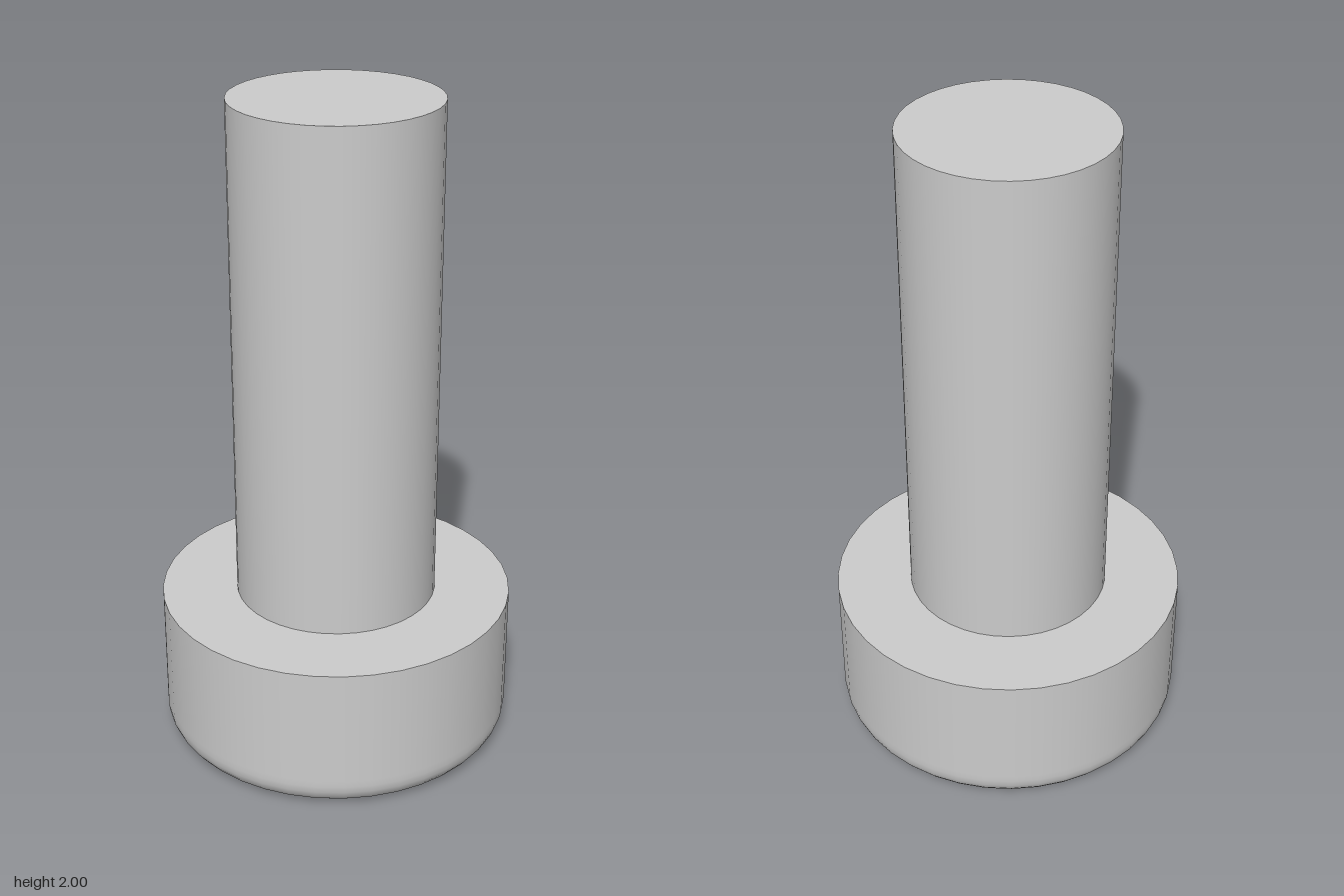
import * as THREE from 'three';

const SHAFT_R = 0.307, HEAD_R = 0.537, HEAD_H = 0.465, FILLET = 0.08;
const SOCKET_R = 0.308, SOCKET_DEPTH = 0.31, SEGMENTS = 40;

export function createModel() {
  const bolt = new THREE.Group();
  bolt.name = 'socketHeadBolt';
  const smooth = new THREE.MeshStandardMaterial({ color: 0xcccccc });
  const inside = new THREE.MeshStandardMaterial({ color: 0xcccccc, flatShading: true, side: THREE.BackSide });

  const add = (name, geometry, y, material = smooth) => {
    const mesh = new THREE.Mesh(geometry, material);
    mesh.name = name;
    mesh.position.y = y;
    bolt.add(mesh);
    return mesh;
  };

  // Plain shaft, closed by its flat tip
  const shaftH = 2 - HEAD_H;
  add('shaft', new THREE.CylinderGeometry(SHAFT_R, SHAFT_R, shaftH, SEGMENTS), HEAD_H + shaftH / 2);

  // Head wall with a rounded lower edge
  const profile = [];
  for (let i = 0; i <= 6; i++) {
    const a = (i / 6) * Math.PI / 2;
    profile.push(new THREE.Vector2(HEAD_R - FILLET + FILLET * Math.sin(a), FILLET * (1 - Math.cos(a))));
  }
  profile.push(new THREE.Vector2(HEAD_R, FILLET + 0.02), new THREE.Vector2(HEAD_R, HEAD_H));
  add('headWall', new THREE.LatheGeometry(profile, SEGMENTS), 0);

  // Flat shoulder around the shaft
  add('headShoulder', new THREE.RingGeometry(SHAFT_R - 0.01, HEAD_R, SEGMENTS).rotateX(-Math.PI / 2), HEAD_H);

  // Head face with a hexagonal opening
  const polygon = (radius, sides) => Array.from({ length: sides }, (_, i) => {
    const a = (i / sides) * Math.PI * 2;
    return new THREE.Vector2(radius * Math.cos(a), radius * Math.sin(a));
  });
  const face = new THREE.Shape(polygon(HEAD_R - FILLET, SEGMENTS));
  face.holes.push(new THREE.Path(polygon(SOCKET_R, 6)));
  add('headFace', new THREE.ShapeGeometry(face).rotateX(Math.PI / 2), 0);

  // Socket walls and floor
  const walls = new THREE.CylinderGeometry(SOCKET_R, SOCKET_R, SOCKET_DEPTH, 6, 1, true).rotateY(Math.PI / 2);
  add('socketWalls', walls, SOCKET_DEPTH / 2, inside);
  add('socketFloor', new THREE.CircleGeometry(SOCKET_R, 6).rotateX(Math.PI / 2), SOCKET_DEPTH);

  return bolt;
}
